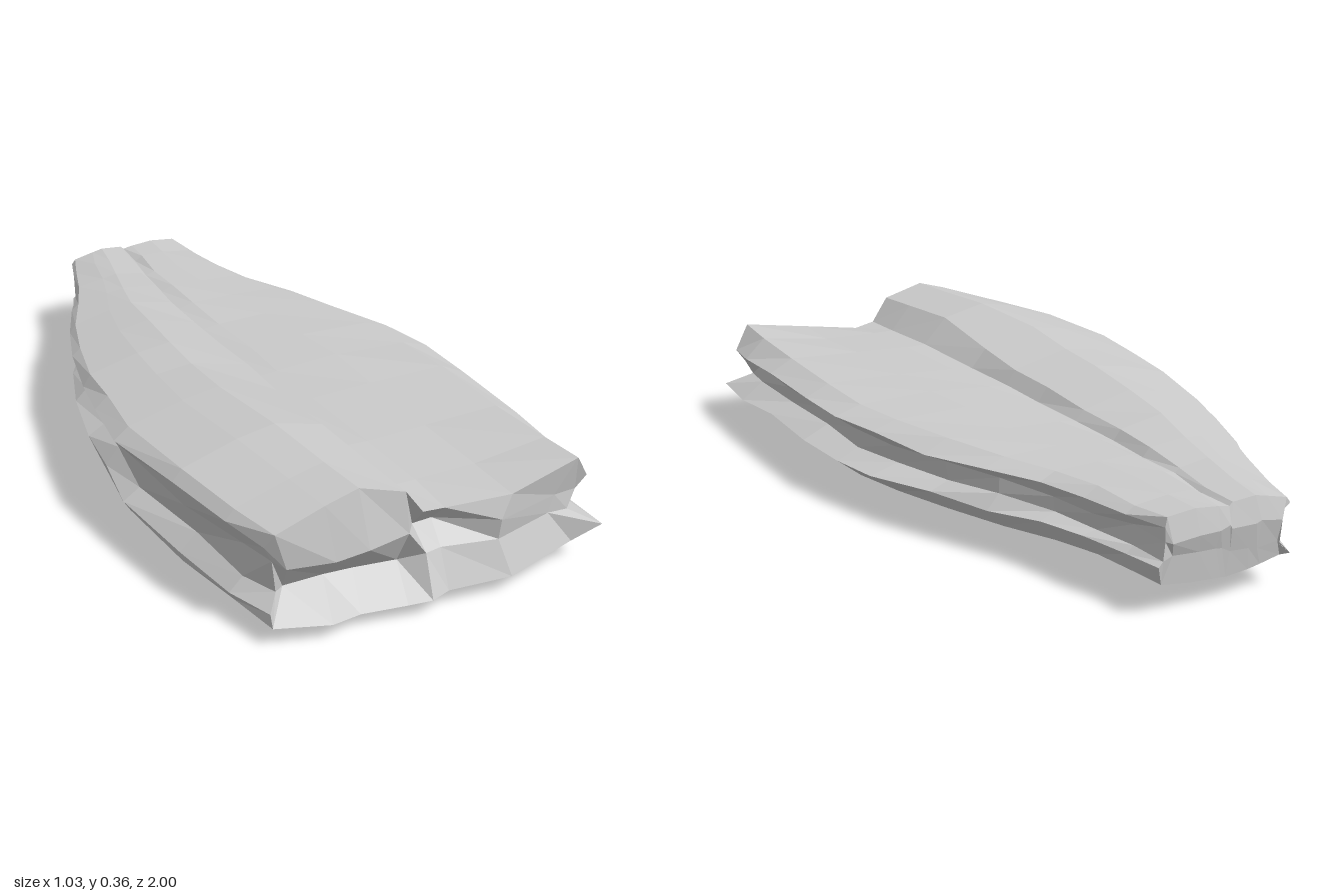
import * as THREE from 'three';

// stations along the length: z, left edge x, crease x, right edge x
const STATIONS = [
  [-0.99, -0.14, 0.04, 0.24], [-0.88, -0.185, 0.03, 0.25], [-0.74, -0.225, 0.01, 0.265],
  [-0.6, -0.285, 0, 0.3], [-0.45, -0.36, -0.01, 0.365], [-0.27, -0.42, -0.015, 0.43],
  [-0.07, -0.465, -0.02, 0.48], [0.1, -0.49, -0.025, 0.51], [0.3, -0.515, -0.025, 0.51],
  [0.58, -0.495, -0.02, 0.49], [0.8, -0.46, -0.015, 0.485], [0.95, -0.435, -0.015, 0.475],
];
const LAST = STATIONS.length - 1;

// cross-section columns from the left edge over the crease to the right edge
const U = [-1, -0.93, -0.62, -0.42, -0.14, 0, 0.12, 0.45, 0.86, 1];
const COLS = U.length - 1;
const CREST = 4; // column of the step beside the crease
const TOP_FRONT = [0.262, 0.3, 0.345, 0.366, 0.333, 0.262, 0.257, 0.268, 0.273, 0.24];
const TOP_BACK = [0.21, 0.232, 0.25, 0.256, 0.25, 0.238, 0.25, 0.252, 0.245, 0.225];

// depth of the front end, by row and column
const FRONT_Z = [
  [0.92, 0.945, 0.945, 0.945, 0.95, 0.94, 0.93, 0.97, 0.945, 0.92],
  [0.92, 0.94, 0.96, 0.965, 0.95, 0.89, 0.88, 0.975, 0.93, 0.91],
  [0.9, 0.88, 0.88, 0.88, 0.9, 0.95, 0.94, 0.965, 0.93, 0.92],
  [0.94, 0.95, 0.985, 0.965, 0.985, 1, 0.975, 0.99, 0.945, 0.97],
];

// repeatable small irregularity
function jitter(a, b, c) {
  const n = Math.sin(a * 12.99 + b * 78.23 + c * 37.72) * 43758.55;
  return (n - Math.floor(n) - 0.5) * 2;
}

// rows: 0 upper surface, 1 and 2 the groove, 3 lower surface
function point(row, col, s) {
  const [z0, xl, xc, xr] = STATIONS[s];
  const edge = col === 0 || col === COLS;
  const t = THREE.MathUtils.clamp((0.6 - z0) / 1.45, 0, 1); // 0 at front, 1 at back
  const middle = Math.min(1, t * 3) * (1 - t);              // strongest halfway along
  const rise = Math.max(0, z0 - 0.6) / 0.35;                // curl of the front end
  const u = col === CREST ? -0.14 + 0.08 * Math.min(1, t * 3) : U[col];
  let x = xc + u * (u < 0 ? xc - xl : xr - xc), y, z = z0;
  if (row === 0) {
    y = THREE.MathUtils.lerp(TOP_FRONT[col], TOP_BACK[col], t) - 0.012 * rise;
    if (col === CREST) y -= 0.03 * middle;
    if (col === CREST + 1) y -= 0.012 * middle;
    if (col === COLS - 1) y += 0.036 * rise;
    if (edge) x *= s === 0 ? 0.93 : 1 - 0.06 * rise;
  } else if (row === 3) {
    const rim = u < 0 ? 0.08 : 0.11;
    const bowl = (u < 0 ? 0.055 : 0.08) * Math.abs(u) ** 1.5;
    y = edge ? rim + 0.02 * t
      : THREE.MathUtils.lerp(bowl, 0.065 + 0.025 * u * u, t ** 3) + 0.045 * rise * (1 - Math.abs(u));
    if (edge && u < 0) x *= 0.96;
  } else {
    const inset = row === 1 ? 0.9 : 0.87;
    x = xc + (x - xc) * inset;
    y = row === 1 ? 0.2 - 0.01 * t : (u < 0 ? 0.12 : 0.15);
  }
  if (s === LAST) z = FRONT_Z[row][col];
  else if (s === 0 && !edge) z = [-0.99, -1, -0.985, -0.975][row];
  else if (s === 0 && row === 3) z = -1;
  const amount = row === 0 && !edge ? 0.004 : row === 3 && !edge ? 0.003 : 0.01;
  x += jitter(row, col, s) * amount;
  y = Math.max(0, y + jitter(col, s, row + 5) * amount);
  return new THREE.Vector3(x, y, z);
}

// collects quads a-b-c-d (counter-clockwise) into one faceted mesh
function meshFromQuads(name, quads) {
  const points = quads.flatMap(([a, b, c, d]) => [a, b, c, a, c, d]);
  const geometry = new THREE.BufferGeometry().setFromPoints(points);
  geometry.computeVertexNormals();
  const mesh = new THREE.Mesh(geometry, new THREE.MeshStandardMaterial({ color: 0xcccccc, flatShading: true }));
  mesh.name = name;
  return mesh;
}

// skin that follows a list of [row, column] points along every station
function strip(name, path) {
  const quads = [];
  for (let s = 0; s < LAST; s++) {
    for (let i = 0; i < path.length - 1; i++) {
      const p = path[i], q = path[i + 1];
      quads.push([point(...p, s), point(...p, s + 1), point(...q, s + 1), point(...q, s)]);
    }
  }
  return meshFromQuads(name, quads);
}

// closed end made of all rows and columns of one station
function endCap(name, s) {
  const quads = [];
  for (let r = 0; r < 3; r++) {
    for (let c = 0; c < COLS; c++) {
      const q = [point(r, c, s), point(r + 1, c, s), point(r + 1, c + 1, s), point(r, c + 1, s)];
      quads.push(s === 0 ? q.reverse() : q);
    }
  }
  return meshFromQuads(name, quads);
}

export function createModel() {
  const group = new THREE.Group();
  group.name = 'foldedShell';
  const columns = U.map((_, i) => i);
  group.add(
    strip('upperLobes', columns.map((c) => [0, c])),
    strip('leftGroove', [0, 1, 2, 3].map((r) => [r, COLS])),
    strip('belly', [...columns].reverse().map((c) => [3, c])),
    strip('rightGroove', [3, 2, 1, 0].map((r) => [r, 0])),
    endCap('backEnd', 0),
    endCap('frontEnd', LAST),
  );
  return group;
}
